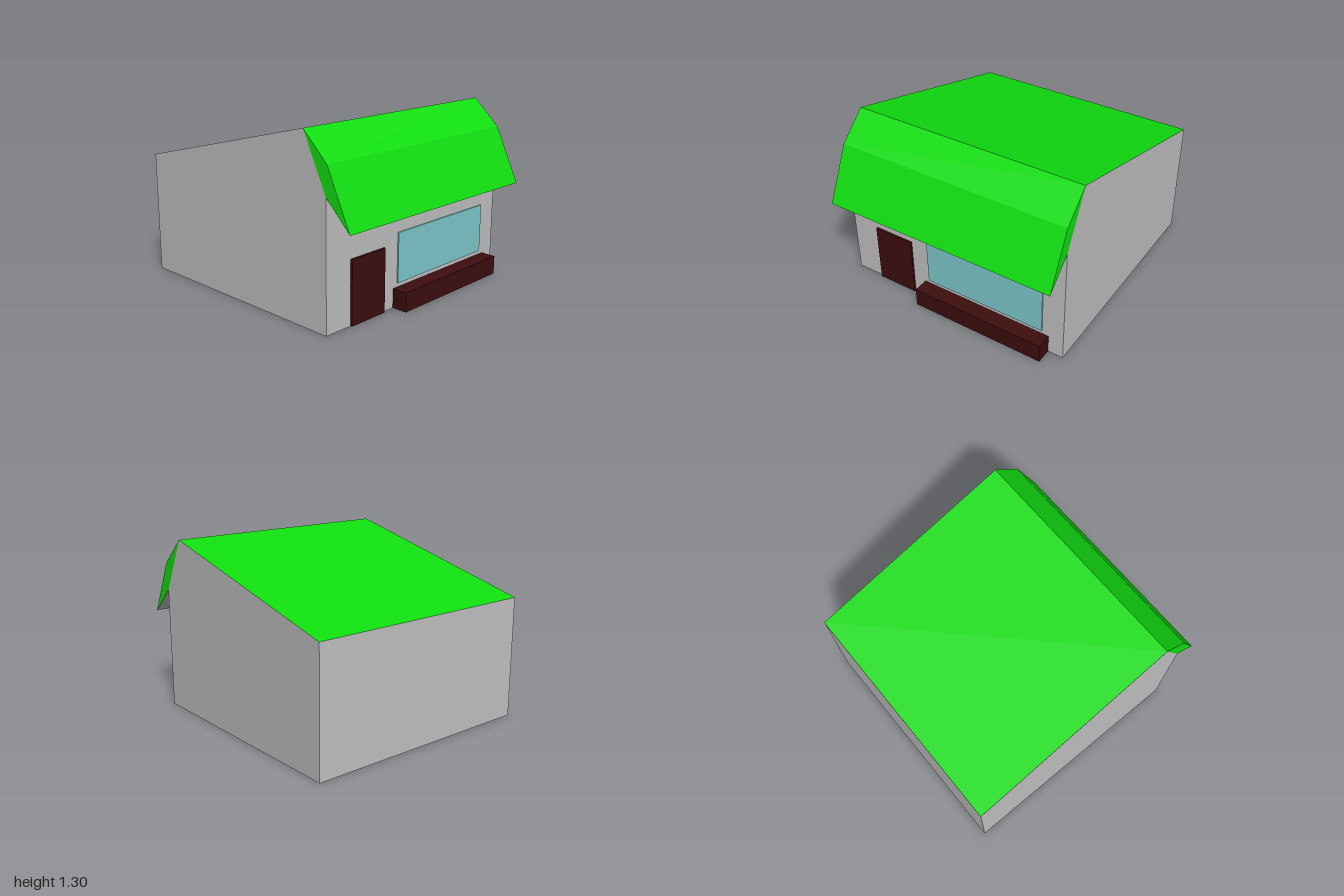
import * as THREE from 'three';

const paint = (name, color) => {
  const m = new THREE.MeshStandardMaterial({ color });
  m.name = name;
  return m;
};

// Convex prism along x. profile: [z, y] corners, counter-clockwise seen from +x.
// edgeMats[i] paints the face from corner i to corner i + 1; capMat paints both ends.
function prism(name, x0, x1, profile, edgeMats, capMat) {
  const mats = [...new Set([capMat, ...edgeMats])];
  const positions = [];
  const geometry = new THREE.BufferGeometry();
  const addFace = (corners, mat) => {
    const start = positions.length / 3;
    for (let i = 1; i < corners.length - 1; i++) {
      positions.push(...corners[0], ...corners[i], ...corners[i + 1]);
    }
    geometry.addGroup(start, positions.length / 3 - start, mats.indexOf(mat));
  };
  const at = (x) => profile.map(([z, y]) => [x, y, z]);
  const left = at(x1), right = at(x0);
  addFace(left, capMat);
  addFace([...right].reverse(), capMat);
  profile.forEach((_, i) => {
    const j = (i + 1) % profile.length;
    addFace([left[i], right[i], right[j], left[j]], edgeMats[i]);
  });
  geometry.setAttribute('position', new THREE.Float32BufferAttribute(positions, 3));
  geometry.computeVertexNormals();
  const mesh = new THREE.Mesh(geometry, mats);
  mesh.name = name;
  return mesh;
}

export function createModel() {
  const wall = paint('wall grey', 0xc0c0c0);
  const green = paint('roof green', 0x10de10);
  const wood = paint('dark wood', 0x3d0d0e);
  const glass = paint('window glass', 0x7dc8cc);

  const front = 0.8;
  const group = new THREE.Group();
  group.name = 'shop';

  // Block standing against the front wall, with its own underside colour
  const frontBlock = (name, x0, x1, y0, y1, depth, mat, under) =>
    prism(name, x0, x1,
      [[front, y0], [front, y1], [front + depth, y1], [front + depth, y0]],
      [mat, mat, mat, under], mat);

  group.add(
    // Walls with the sloping roof face
    prism('building', -0.9, 0.9,
      [[-1, 0], [-1, 0.9], [0.605, 1.3], [front, 0.9], [front, 0]],
      [wall, green, wall, wall, wall], wall),
    // Bent overhang above the shop front, grey underneath
    prism('awning', -0.9, 0.9,
      [[1, 0.705], [front, 0.9], [0.605, 1.3], [0.81, 1.105]],
      [wall, green, green, green], green),
    frontBlock('door', -0.68, -0.36, 0, 0.457, 0.014, wood, wall),
    frontBlock('window', -0.22, 0.735, 0.17, 0.53, 0.009, glass, glass),
    frontBlock('planter', -0.26, 0.785, 0, 0.14, 0.115, wood, wall),
  );
  return group;
}
